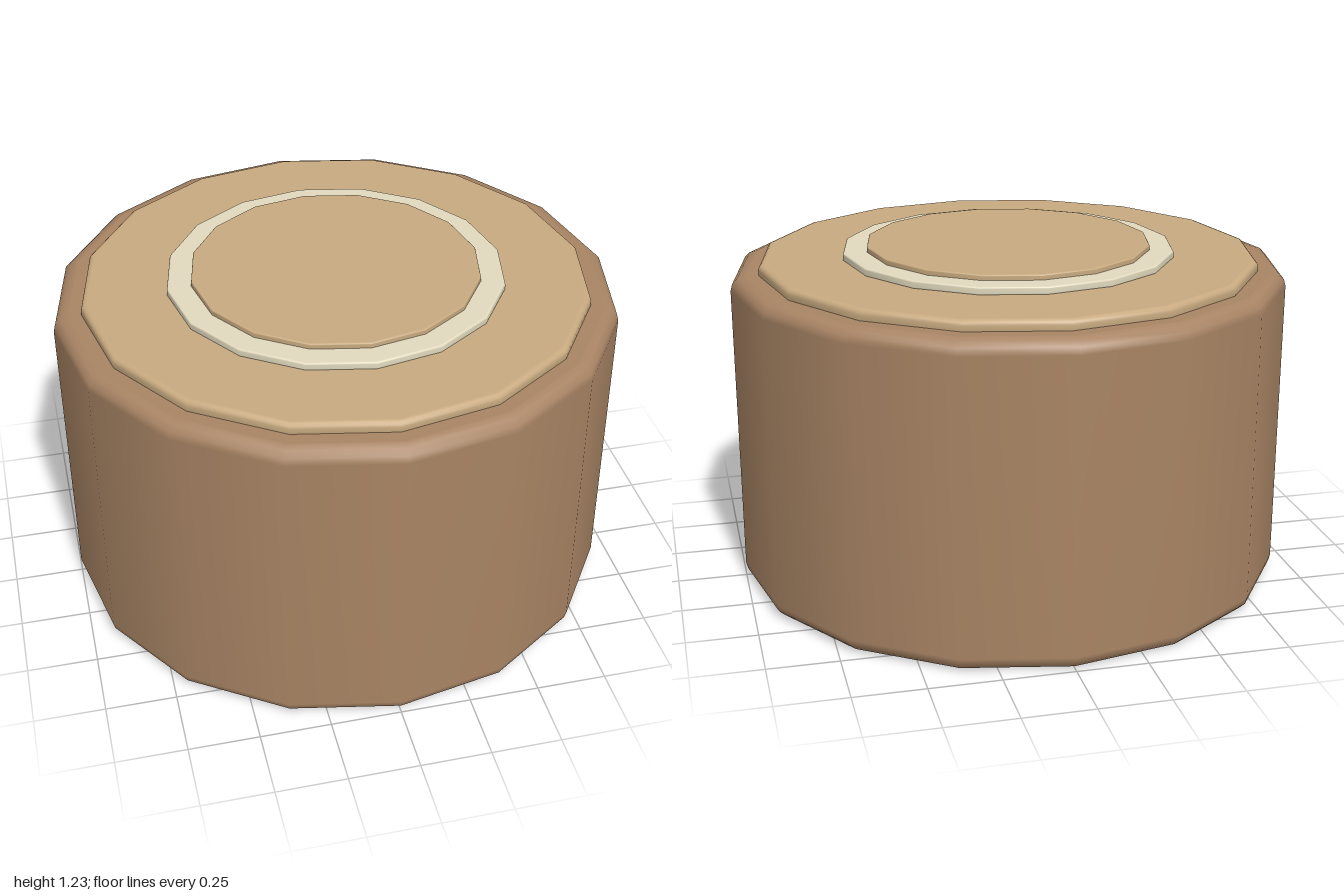
import * as THREE from 'three';

const SIDES = 16;

// Closed disc with softly rounded rims, turned from a profile
function roundedDisc(name, radius, y0, y1, bevel, color) {
  const pts = [new THREE.Vector2(0, y0), new THREE.Vector2(radius - bevel - 0.004, y0)];
  const steps = 3;
  for (const [cy, start] of [[y0 + bevel, -Math.PI / 2], [y1 - bevel, 0]]) {
    for (let i = 0; i <= steps; i++) {
      const a = start + (i / steps) * Math.PI / 2;
      pts.push(new THREE.Vector2(radius - bevel + bevel * Math.cos(a), cy + bevel * Math.sin(a)));
    }
  }
  pts.push(new THREE.Vector2(radius - bevel - 0.004, y1), new THREE.Vector2(0, y1));
  const mesh = new THREE.Mesh(
    new THREE.LatheGeometry(pts, SIDES),
    new THREE.MeshStandardMaterial({ color })
  );
  mesh.name = name;
  return mesh;
}

export function createModel() {
  const group = new THREE.Group();
  group.name = 'roundContainer';
  group.add(
    // Main drum
    roundedDisc('body', 1, 0, 1.145, 0.05, 0xa88464),
    // Lid set inside the rim
    roundedDisc('lid', 0.9, 1.13, 1.182, 0.018, 0xc8aa80),
    // Pale band around the centre plate
    roundedDisc('paleRing', 0.6, 1.18, 1.208, 0.006, 0xe2dabe),
    // Centre plate
    roundedDisc('centrePlate', 0.514, 1.2, 1.227, 0.005, 0xc8aa80)
  );
  return group;
}
